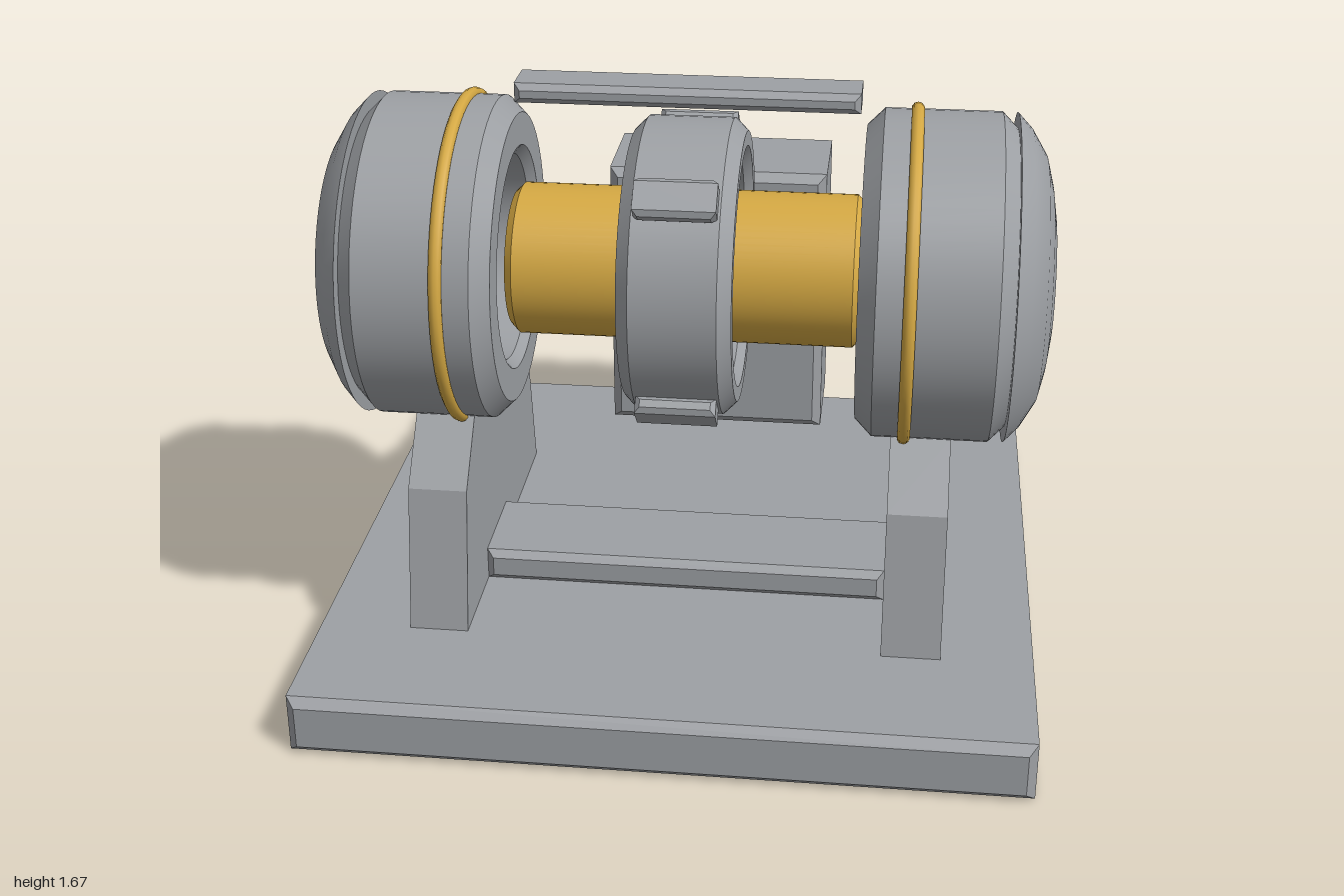
import * as THREE from 'three';
import { toCreasedNormals } from 'three/addons/utils/BufferGeometryUtils.js';

const AXIS_Y = 1.14, AXIS_Z = 0.18;

const steel = new THREE.MeshStandardMaterial({ color: 0x9da0a4 });
steel.name = 'steel grey';
const brass = new THREE.MeshStandardMaterial({ color: 0xd4a843 });
brass.name = 'brass';

function add(parent, name, geometry, material) {
  const mesh = new THREE.Mesh(geometry, material);
  mesh.name = name;
  parent.add(mesh);
  return mesh;
}

// Box with chamfered edges, centred on the origin
function chamferBox(w, h, d, c) {
  const x = w / 2 - c, y = h / 2 - c;
  const shape = new THREE.Shape([[-x, -y], [x, -y], [x, y], [-x, y]].map(p => new THREE.Vector2(...p)));
  const g = new THREE.ExtrudeGeometry(shape, {
    depth: d - 2 * c, bevelEnabled: true, bevelSize: c, bevelThickness: c, bevelSegments: 1,
  });
  return g.translate(0, 0, -(d - 2 * c) / 2);
}

// Box given by its x, y and z ranges
function boxBetween(parent, name, [x0, x1], [y0, y1], [z0, z1], chamfer) {
  const mesh = add(parent, name, chamferBox(x1 - x0, y1 - y0, z1 - z0, chamfer), steel);
  mesh.position.set((x0 + x1) / 2, (y0 + y1) / 2, (z0 + z1) / 2);
  return mesh;
}

// Solid of revolution around the x axis from [radius, x] points
function turned(profile, crease = 0.35) {
  const g = new THREE.LatheGeometry(profile.map(p => new THREE.Vector2(...p)), 64);
  return toCreasedNormals(g.rotateZ(-Math.PI / 2), crease);
}

// Hollow cylinder with chamfered rims
function sleeve(x0, x1, outer, inner, c, ci = 0.025) {
  return turned([
    [inner + ci, x0], [outer - c, x0], [outer, x0 + c], [outer, x1 - c], [outer - c, x1],
    [inner + ci, x1], [inner, x1 - ci], [inner, x0 + ci], [inner + ci, x0],
  ]);
}

// Hollow end drum with brass band, domed cover and brass cap
function endDrum(name) {
  const drum = new THREE.Group();
  drum.name = name;
  add(drum, 'drumShell', sleeve(0.48, 0.89, 0.453, 0.29, 0.047), steel);
  const band = add(drum, 'drumBand', new THREE.TorusGeometry(0.453, 0.018, 10, 72).rotateY(Math.PI / 2), brass);
  band.position.x = 0.615;
  add(drum, 'domeCover', turned([
    [0, 0.885], [0.452, 0.885], [0.41, 0.925], [0.34, 0.967], [0.27, 0.985], [0.193, 0.997], [0, 0.997],
  ], 0.6), steel);
  const cap = add(drum, 'domeCap', new THREE.CircleGeometry(0.193, 48).rotateY(Math.PI / 2), brass);
  cap.position.x = 1;
  return drum;
}

// Tapered pedestal with a curved cradle for the drum
function pedestalGeometry() {
  const s = new THREE.Shape();
  s.moveTo(-0.46, 0.165);
  s.lineTo(0.615, 0.165);
  s.lineTo(0.54, 0.58);
  s.lineTo(0.397, 0.746);
  s.absarc(AXIS_Z, AXIS_Y, 0.45, -1.068, -2.447, true);
  s.lineTo(-0.38, 0.58);
  s.closePath();
  const g = new THREE.ExtrudeGeometry(s, { depth: 0.165, bevelEnabled: false, curveSegments: 16 });
  return g.rotateY(-Math.PI / 2).translate(0.0825, 0, 0);
}

export function createModel() {
  const model = new THREE.Group();
  model.name = 'twinDrumMachine';

  // Base, floor plate, rear cabinet and top rail
  boxBetween(model, 'base', [-1, 1], [0, 0.172], [-1, 1], 0.025);
  boxBetween(model, 'floorPlate', [-0.58, 0.58], [0.172, 0.268], [0.02, 0.34], 0.02);
  boxBetween(model, 'rearCabinet', [-0.345, 0.345], [0.232, 1.117], [-1, -0.62], 0.027);
  boxBetween(model, 'topRail', [-0.465, 0.465], [1.612, 1.667], [0.098, 0.25], 0.017);

  // Pedestals
  for (const side of [-1, 1]) {
    const pedestal = add(model, side > 0 ? 'leftPedestal' : 'rightPedestal', pedestalGeometry(), steel);
    pedestal.position.x = side * 0.6625;
  }

  // Everything turned about the main axis
  const rotor = new THREE.Group();
  rotor.name = 'rotor';
  rotor.position.set(0, AXIS_Y, AXIS_Z);
  model.add(rotor);

  rotor.add(endDrum('leftDrum'));
  const rightDrum = endDrum('rightDrum');
  rightDrum.rotation.y = Math.PI;
  rotor.add(rightDrum);

  add(rotor, 'shaft', turned([
    [0, -0.485], [0.19, -0.485], [0.212, -0.463], [0.212, 0.463], [0.19, 0.485], [0, 0.485],
  ]), brass);
  add(rotor, 'centreRing', sleeve(-0.153, 0.153, 0.412, 0.31, 0.036), steel);

  // Four pads around the centre ring
  for (let i = 0; i < 4; i++) {
    const holder = new THREE.Group();
    holder.name = 'ringPad' + (i + 1);
    holder.rotation.x = Math.PI / 4 + i * Math.PI / 2;
    const pad = add(holder, 'pad', chamferBox(0.22, 0.05, 0.11, 0.014), steel);
    pad.position.y = 0.432;
    rotor.add(holder);
  }
  return model;
}
